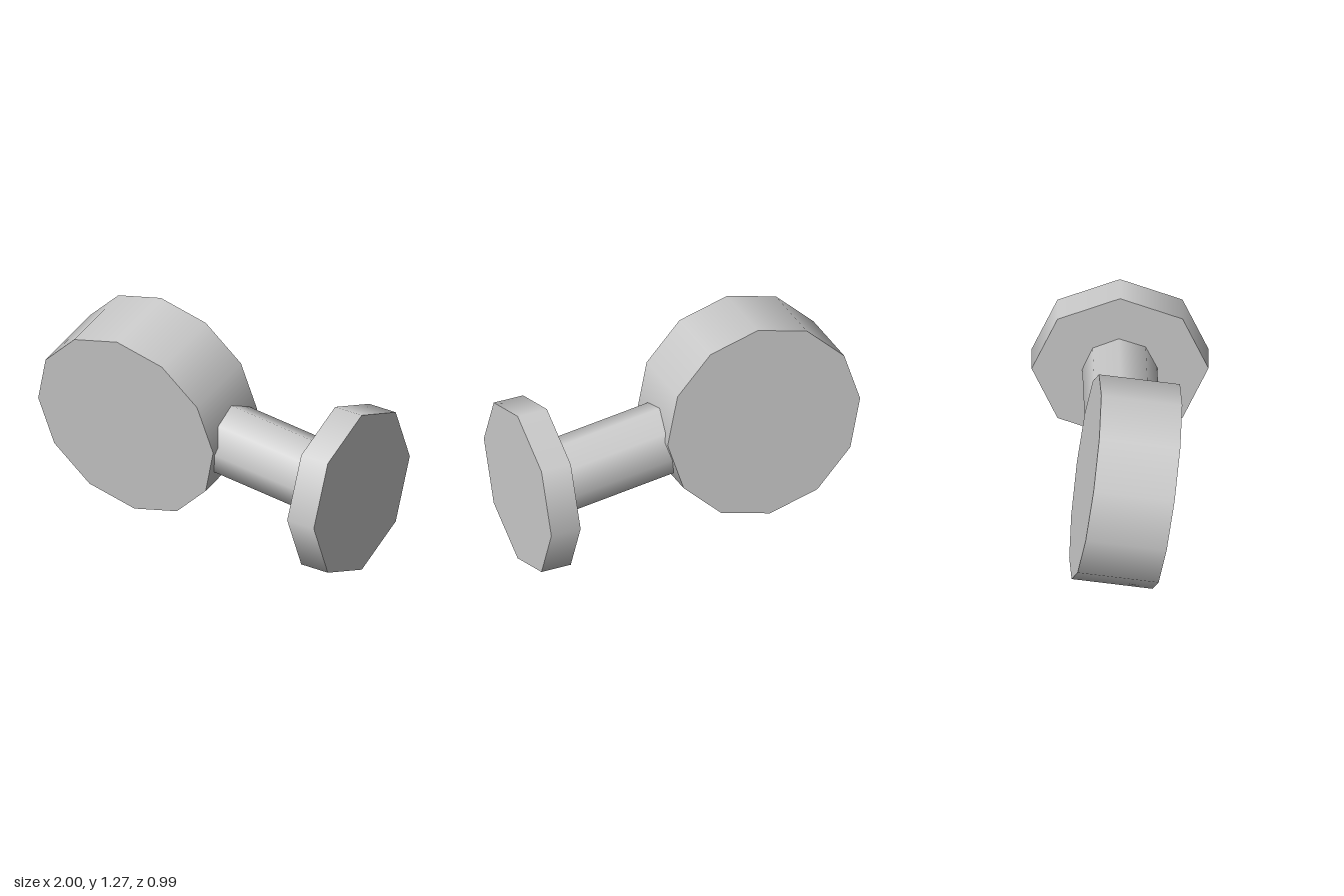
import * as THREE from 'three';

export function createModel() {
  const model = new THREE.Group();
  const grey = new THREE.MeshStandardMaterial({ color: 0xcccccc });
  grey.name = 'light grey';

  // Closed cylinder running from one point to another
  const rod = (name, from, to, radius, sides) => {
    const a = new THREE.Vector3(...from);
    const axis = new THREE.Vector3(...to).sub(a);
    const mesh = new THREE.Mesh(
      new THREE.CylinderGeometry(radius, radius, axis.length(), sides), grey);
    mesh.name = name;
    mesh.position.copy(a).addScaledVector(axis, 0.5);
    mesh.quaternion.setFromUnitVectors(new THREE.Vector3(0, 1, 0), axis.normalize());
    model.add(mesh);
  };

  // Twelve-sided drum, tipped slightly forward
  rod('drum', [-0.415, 0.693, -0.2], [-0.415, 0.622, 0.255], 0.585, 12);
  // Stem sloping from inside the drum down to the flange
  rod('stem', [-0.105, 0.618, 0.019], [0.827, 0.498, -0.002], 0.211, 8);
  // Eight-sided end flange
  rod('flange', [0.822, 0.5, 0], [1, 0.5, 0], 0.497, 8);

  return model;
}
